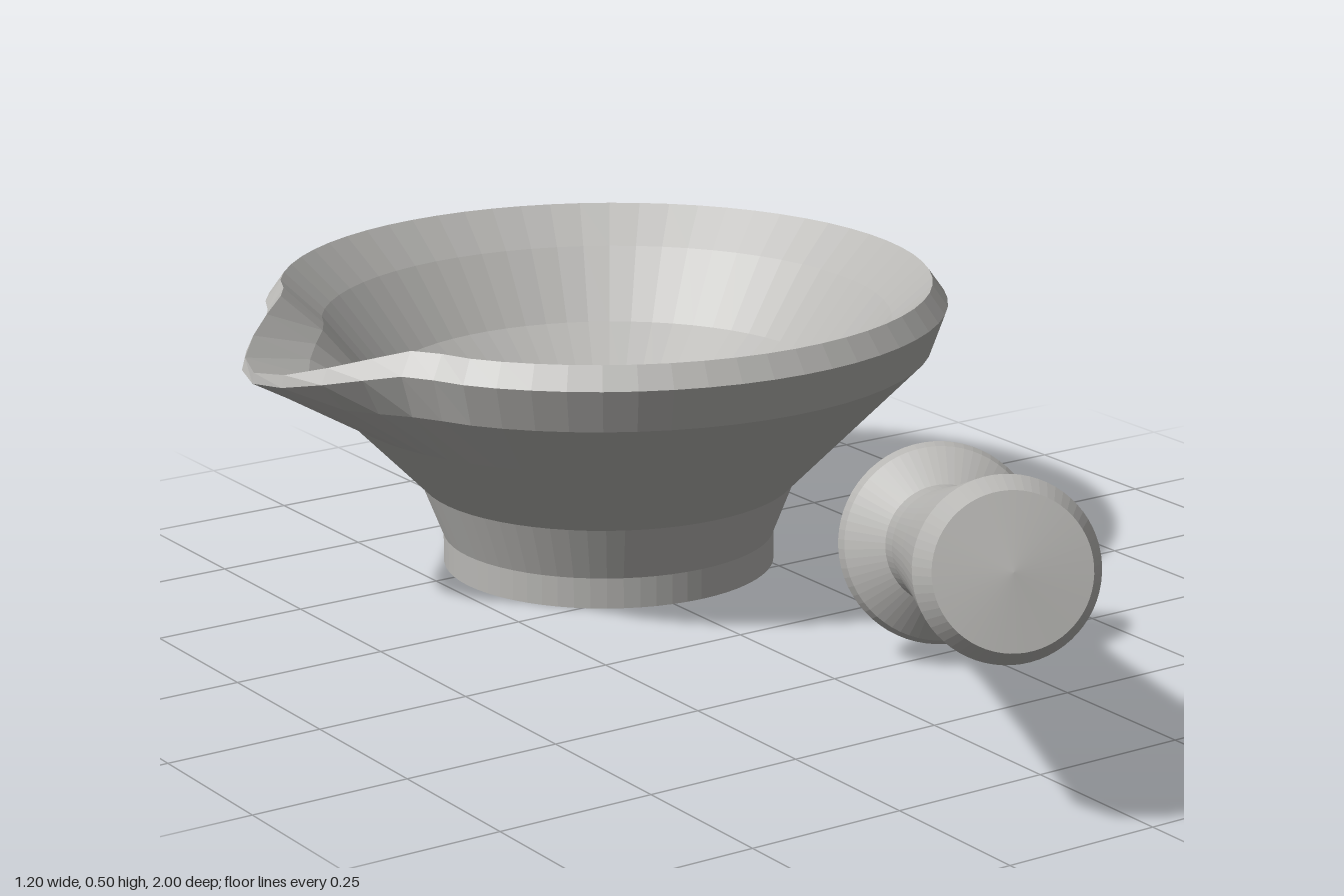
import * as THREE from 'three';

const stone = new THREE.MeshStandardMaterial({ color: 0xb8b7b4, flatShading: true });
stone.name = 'grey stone';

// Bowl rings from the base up the outside and down the inside:
// radius, height, then how far the spout pushes the ring out and down
const bowlRings = [
  [0, 0, 0, 0], [0.27, 0, 0, 0], [0.27, 0.05, 0, 0], [0.305, 0.14, 0, 0],
  [0.437, 0.275, 0, 0], [0.525, 0.365, 0.065, 0], [0.55, 0.435, 0.1, 0.037],
  [0.525, 0.47, 0.122, 0.055],
  [0.46, 0.41, 0.075, 0.035], [0.37, 0.3, 0, 0], [0.25, 0.215, 0, 0],
  [0.11, 0.17, 0, 0], [0, 0.162, 0, 0],
];

// Pestle radius and distance along its axis, from grinding face to handle end
const pestleProfile = [
  [0, -0.008], [0.11, 0], [0.155, 0.06], [0.148, 0.085], [0.092, 0.145],
  [0.09, 0.22], [0.106, 0.5], [0.13, 0.83], [0.11, 0.89], [0, 0.898],
];

const lathe = (rows, segments) =>
  new THREE.LatheGeometry(rows.map(([r, y]) => new THREE.Vector2(r, y)), segments);

// Spout strength by angle (degrees) away from the pouring direction
function spout(angle) {
  const bump = (centre, width) => Math.exp(-(((angle - centre) / width) ** 2));
  return bump(0, 15) - 0.12 * bump(25, 6);
}

function createBowl() {
  const geometry = lathe(bowlRings, 64);
  const pos = geometry.attributes.position;
  for (let i = 0; i < pos.count; i++) {
    const [r, y, out, drop] = bowlRings[i % bowlRings.length];
    if (!out) continue;
    const x = pos.getX(i), z = pos.getZ(i);
    const w = spout(Math.abs(THREE.MathUtils.radToDeg(Math.atan2(z, -x))));
    const k = (r + out * w) / r;
    pos.setXYZ(i, x * k, y - drop * Math.max(w, 0), z * k);
  }
  geometry.computeVertexNormals();
  const bowl = new THREE.Mesh(geometry, stone);
  bowl.name = 'mortarBowl';
  bowl.position.set(0.05, 0, -0.45);
  return bowl;
}

function createPestle() {
  const pestle = new THREE.Mesh(lathe(pestleProfile, 64), stone);
  pestle.name = 'pestle';
  const head = new THREE.Vector3(0.225, 0.165, 0.2);
  const handleEnd = new THREE.Vector3(-0.21, 0.395, 0.945);
  pestle.position.copy(head);
  pestle.quaternion.setFromUnitVectors(
    new THREE.Vector3(0, 1, 0), handleEnd.sub(head).normalize());
  return pestle;
}

export function createModel() {
  const model = new THREE.Group();
  model.name = 'mortarAndPestle';
  model.add(createBowl(), createPestle());
  return model;
}
